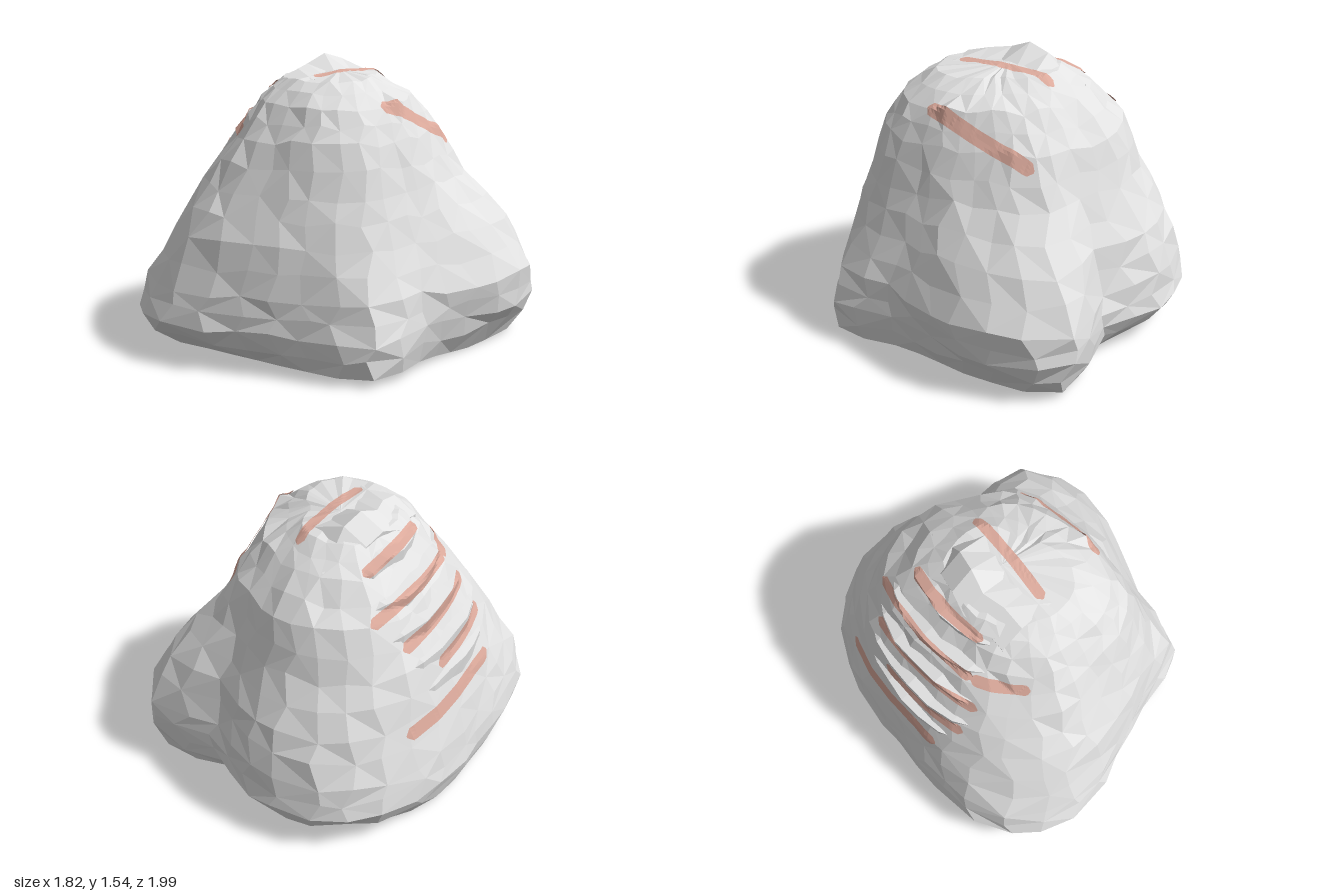
import * as THREE from 'three';

// Radii of the boulder at 16 compass directions (from +x towards +z), per height
const LEVELS = [
  [0.04, [.70, .74, .93, .81, .76, .83, 1.02, .92, .85, .88, .90, .87, .80, .74, .99, .80]],
  [0.22, [.80, .78, .95, .85, .89, 1.08, 1.13, .99, .90, .94, 1.03, 1.05, .96, .84, 1.07, .96]],
  [0.40, [.84, .77, .89, .82, .87, 1.01, 1.07, .95, .87, .91, .99, 1.01, .94, .82, 1.06, .98]],
  [0.65, [.71, .67, .77, .77, .80, .91, .92, .86, .80, .84, .90, .93, .86, .75, .92, .82]],
  [0.90, [.57, .59, .68, .69, .69, .76, .76, .74, .71, .76, .80, .78, .72, .65, .69, .60]],
  [1.15, [.48, .51, .59, .60, .58, .61, .58, .58, .57, .62, .69, .68, .63, .56, .54, .47]],
  [1.33, [.39, .43, .48, .49, .47, .47, .45, .43, .42, .46, .53, .49, .45, .40, .39, .36]],
  [1.44, [.18, .23, .28, .32, .32, .32, .31, .33, .33, .34, .36, .32, .29, .22, .15, .13]],
];
const SIDES = 32;

// Seeded noise from -1 to 1
function makeNoise(seed) {
  let s = seed;
  return () => {
    s = (s * 16807) % 2147483647;
    return (s / 2147483647) * 2 - 1;
  };
}

// Flat-sided geometry from points and triangle corners
function facets(points, index) {
  const g = new THREE.BufferGeometry();
  g.setAttribute('position', new THREE.Float32BufferAttribute(points.flat(), 3));
  g.setIndex(index);
  const flat = g.toNonIndexed();
  flat.computeVertexNormals();
  return flat;
}

// Four-cornered cross-sections joined along z
function loft(sections) {
  const index = [];
  for (let s = 0; s < sections.length - 1; s++) {
    for (let k = 0; k < 4; k++) {
      const a = s * 4 + k, b = s * 4 + (k + 1) % 4;
      index.push(a, b, a + 4, b, b + 4, a + 4);
    }
  }
  return facets(sections.flat(), index);
}

// Smooth value through four neighbours
function spline(a, b, c, d, t) {
  return 0.5 * (2 * b + (c - a) * t + (2 * a - 5 * b + 4 * c - d) * t * t + (3 * b - a - 3 * c + d) * t * t * t);
}

function levelRadius(level, u) {
  const r = LEVELS[level][1], i = Math.floor(u);
  const at = k => r[(i + k + 16) % 16];
  return spline(at(-1), at(0), at(1), at(2), u - i);
}

function boulderGeometry() {
  const noise = makeNoise(71), points = [], index = [];
  const rings = LEVELS.length * 2 - 1;
  for (let j = 0; j < rings; j++) {
    const low = Math.floor(j / 2), high = Math.ceil(j / 2);
    const y0 = (LEVELS[low][0] + LEVELS[high][0]) / 2;
    const mix = j === 1 ? 0.66 : 0.5;
    const loose = j === 0 ? 0 : 1;
    for (let i = 0; i < SIDES; i++) {
      const u = ((i + noise() * 0.25 * loose) / SIDES + 1) * 16 % 16;
      const angle = u / 16 * Math.PI * 2;
      const r = THREE.MathUtils.lerp(levelRadius(low, u), levelRadius(high, u), mix) + noise() * 0.008 * loose;
      // The underside sags slightly on one side
      const sag = j === 0 ? 0.04 * Math.max(0, Math.cos(angle + 0.25)) ** 10 : 0;
      const y = y0 - sag + noise() * (j > rings - 3 ? 0.008 : 0.02) * loose;
      points.push([r * Math.cos(angle), y, r * Math.sin(angle)]);
    }
  }
  const base = points.push([0, 0.04, 0]) - 1;
  const top = points.push([-0.05, 1.465, -0.04]) - 1;
  const last = (rings - 1) * SIDES;
  for (let i = 0; i < SIDES; i++) {
    const n = (i + 1) % SIDES;
    index.push(base, i, n, top, last + n, last + i);
    for (let j = 0; j < rings - 1; j++) {
      const a = j * SIDES + i, b = j * SIDES + n, c = a + SIDES, d = b + SIDES;
      if ((i + j) % 2) index.push(a, c, b, b, c, d);
      else index.push(a, c, d, a, d, b);
    }
  }
  return facets(points, index);
}

const ray = new THREE.Raycaster();
function hit(targets, from, dir) {
  ray.set(from, dir);
  const found = ray.intersectObjects(targets, false);
  return found.length ? found[0].point : null;
}

// A chunky shelf of stone running along z, half buried in the slope
function ledgeGeometry(boulder, y, z0, z1, out, seed) {
  const noise = makeNoise(seed), sections = [], steps = 6;
  for (let s = 0; s <= steps; s++) {
    const t = s / steps, z = z0 + (z1 - z0) * t;
    const swell = Math.sin(Math.PI * t) ** 0.6;
    const h = y + noise() * 0.015;
    const p = hit([boulder], new THREE.Vector3(-2, h, z), new THREE.Vector3(1, 0, 0));
    const x = p ? p.x : -0.3;
    const push = (out + noise() * 0.01) * swell - 0.03 * (1 - swell);
    sections.push([
      [x + 0.12, h + 0.03 + 0.04 * swell, z],
      [x - push, h + 0.035 * swell, z],
      [x - push * 0.7, h - 0.07 * swell, z],
      [x + 0.06, h - 0.1 * swell, z]]);
  }
  return loft(sections);
}

// The craggy crest on top: z, x and height of its ridge line
function crestGeometry() {
  return loft([
    [-0.36, -0.16, 1.37], [-0.22, -0.17, 1.505], [-0.1, -0.2, 1.54],
    [0.02, -0.23, 1.49], [0.14, -0.2, 1.475], [0.27, -0.2, 1.44],
  ].map(([z, x, y]) => [
    [x + 0.2, Math.min(y, 1.44), z],
    [x, y, z],
    [x - 0.13, y - 0.08, z],
    [x - 0.12, y - 0.16, z]]));
}

// A thin, round-ended band draped over the stone
function stripeGeometry(targets, path, dir, width) {
  const curve = new THREE.CatmullRomCurve3(path.map(p => new THREE.Vector3(...p)));
  const points = [], index = [], along = 28, across = 4;
  const length = curve.getLength();
  for (let s = 0; s <= along; s++) {
    const t = s / along, centre = curve.getPointAt(t);
    const side = new THREE.Vector3().crossVectors(dir, curve.getTangentAt(t)).normalize();
    const end = Math.min(1, Math.min(t, 1 - t) * length / (width / 2));
    const half = width / 2 * Math.max(0.15, Math.sqrt(end * (2 - end)));
    for (let k = 0; k <= across; k++) {
      const p = centre.clone().addScaledVector(side, half * (2 * k / across - 1));
      const q = hit(targets, p.clone().addScaledVector(dir, 1), dir.clone().negate()) || p;
      points.push(q.addScaledVector(dir, 0.008).toArray());
    }
  }
  for (let s = 0; s < along; s++) {
    for (let k = 0; k < across; k++) {
      const a = s * (across + 1) + k, c = a + across + 1;
      index.push(a, c, a + 1, a + 1, c, c + 1);
    }
  }
  return facets(points, index);
}

export function createModel() {
  const group = new THREE.Group();
  const stone = new THREE.MeshStandardMaterial({ color: 0xe2e2e2, flatShading: true });
  stone.name = 'pale grey stone';
  const paint = new THREE.MeshStandardMaterial({ color: 0xdcaa9c, flatShading: true, side: THREE.DoubleSide });
  paint.name = 'faded red';
  const add = (name, geometry, material) => {
    const mesh = new THREE.Mesh(geometry, material);
    mesh.name = name;
    group.add(mesh);
    return mesh;
  };

  const boulder = add('boulder', boulderGeometry(), stone);
  const crest = add('crest', crestGeometry(), stone);

  // Stepped ledges up the -x slope: height, z range, overhang
  const ledges = [
    [0.75, -0.42, 0.36, 0.03],
    [0.90, -0.48, 0.42, 0.03],
    [1.05, -0.52, 0.40, 0.035],
    [1.20, -0.52, 0.34, 0.03],
    [1.34, -0.44, 0.28, 0.025],
  ].map(([y, z0, z1, out], i) =>
    add('ledge' + (i + 1), ledgeGeometry(boulder, y, z0, z1, out, 101 + i * 977), stone));

  // Painted bands: path, the direction they face, width
  const solid = [boulder, crest, ...ledges];
  const facing = (x, y, z) => new THREE.Vector3(x, y, z).normalize();
  const left = facing(-0.75, 0.66, 0);
  [
    [[[-0.81, 0.61, -0.54], [-0.82, 0.64, -0.1], [-0.80, 0.66, 0.24]], facing(-1, 0.2, 0), 0.08],
    [[[-0.75, 0.86, -0.22], [-0.74, 0.86, 0.05], [-0.69, 0.87, 0.34]], left, 0.07],
    [[[-0.65, 1.04, -0.4], [-0.64, 1.04, 0], [-0.59, 1.04, 0.34]], left, 0.07],
    [[[-0.50, 1.19, -0.5], [-0.51, 1.18, 0], [-0.49, 1.18, 0.24]], left, 0.065],
    [[[-0.51, 1.18, 0.22], [-0.42, 1.16, 0.34], [-0.31, 1.14, 0.43]], facing(-0.35, 0.4, 0.85), 0.07],
    [[[-0.38, 1.37, -0.36], [-0.37, 1.37, 0.17]], left, 0.06],
    [[[0.03, 1.45, -0.34], [0.01, 1.45, -0.05], [-0.02, 1.45, 0.23]], facing(0, 1, 0), 0.06],
    [[[0.42, 1.09, -0.4], [0.41, 1.19, -0.1], [0.37, 1.3, 0.21]], facing(0.6, 0.8, 0), 0.075],
  ].forEach(([path, dir, width], i) =>
    add('paintedStripe' + (i + 1), stripeGeometry(solid, path, dir, width), paint));

  return group;
}
